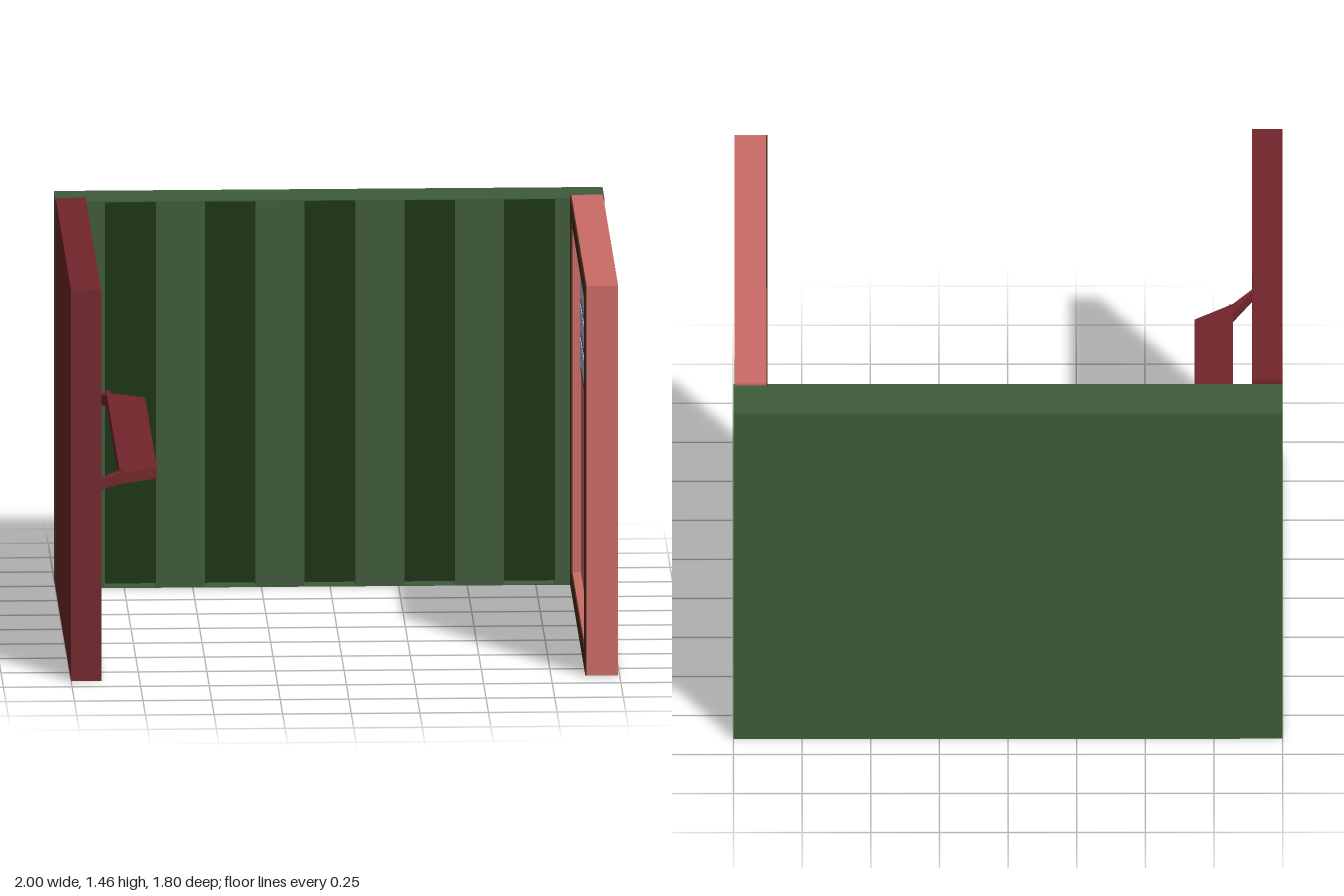
import * as THREE from 'three';

const mats = {};
const mat = (color) => (mats[color] ??= new THREE.MeshStandardMaterial({ color, flatShading: true }));
const GREEN = 0x3f5c3a, DARK_GREEN = 0x16340f, SALMON = 0xcc6b68, RED = 0x72262b,
  TAN = 0x966433, BROWN = 0x4a2c1a, SLOT = 0x50281f, GLASS = 0xa6bace;

// Box given by its extents on each axis
function box(parent, name, color, [x0, x1], [y0, y1], [z0, z1]) {
  const mesh = new THREE.Mesh(new THREE.BoxGeometry(x1 - x0, y1 - y0, z1 - z0), mat(color));
  mesh.position.set((x0 + x1) / 2, (y0 + y1) / 2, (z0 + z1) / 2);
  mesh.name = name;
  parent.add(mesh);
}

// Rectangular border in the y-z plane, w = [bottom, top, sides]
function border(parent, name, color, x, [y0, y1], [z0, z1], [b, t, s]) {
  box(parent, name, color, x, [y0, y0 + b], [z0, z1]);
  box(parent, name, color, x, [y1 - t, y1], [z0, z1]);
  box(parent, name, color, x, [y0 + b, y1 - t], [z0, z0 + s]);
  box(parent, name, color, x, [y0 + b, y1 - t], [z1 - s, z1]);
}

// Flat slab with an outline of [x, z] points
function slab(parent, name, color, points, y0, y1) {
  const shape = new THREE.Shape(points.map(([x, z]) => new THREE.Vector2(x, -z)));
  const geo = new THREE.ExtrudeGeometry(shape, { depth: y1 - y0, bevelEnabled: false });
  geo.rotateX(-Math.PI / 2).translate(0, y0, 0);
  const mesh = new THREE.Mesh(geo, mat(color));
  mesh.name = name;
  parent.add(mesh);
}

function backWall() {
  const g = new THREE.Group();
  g.name = 'backWall';
  const H = 1.44, step = 0.3635, half = 0.0925, lid = 0.003;
  box(g, 'backing', GREEN, [-1, 1], [0, H], [-0.9, -0.78]);
  // Thin plates close the grooves above and below
  box(g, 'topPlate', GREEN, [-1, 1], [H - lid, H], [-0.78, -0.71]);
  box(g, 'bottomPlate', GREEN, [-1, 1], [0, lid], [-0.78, -0.71]);
  // Raised boards with dark grooves between them
  let left = -1;
  for (let i = -2; i <= 2; i++) {
    const c = i * step;
    box(g, 'board', GREEN, [left, c - half], [lid, H - lid], [-0.78, -0.71]);
    box(g, 'groove', DARK_GREEN, [c - half, c + half], [lid, H - lid], [-0.78, -0.777]);
    left = c + half;
  }
  box(g, 'board', GREEN, [left, 1], [lid, H - lid], [-0.78, -0.71]);
  return g;
}

function leftHandWall() {
  const g = new THREE.Group();
  g.name = 'panelledWall';
  const H = 1.455, Z = [-0.71, 0.9], inner = [-0.67, 0.86];
  box(g, 'backing', RED, [-1, -0.94], [0, H], Z);
  border(g, 'wallFrame', RED, [-0.94, -0.89], [0, H], Z, [0.05, 0.04, 0.04]);

  // Upper panel and window
  box(g, 'upperPanel', TAN, [-0.94, -0.92], [0.74, 1.415], inner);
  border(g, 'windowFrame', RED, [-0.92, -0.908], [0.88, 1.31], [-0.19, 0.82], [0.03, 0.03, 0.03]);
  box(g, 'windowGlass', GLASS, [-0.92, -0.915], [0.91, 1.28], [-0.16, 0.79]);

  // Lower panel: rails with three long slots
  let bottom = 0.05;
  for (const y of [0.2, 0.38, 0.56]) {
    box(g, 'rail', RED, [-0.94, -0.915], [bottom, y - 0.04], inner);
    box(g, 'slot', SLOT, [-0.94, -0.935], [y - 0.04, y + 0.04], [-0.62, 0.81]);
    box(g, 'stile', RED, [-0.94, -0.915], [y - 0.04, y + 0.04], [-0.67, -0.62]);
    box(g, 'stile', RED, [-0.94, -0.915], [y - 0.04, y + 0.04], [0.81, 0.86]);
    bottom = y + 0.04;
  }
  box(g, 'rail', RED, [-0.94, -0.915], [bottom, 0.74], inner);

  // Shelf held off the wall by a slanting arm at each end
  const mid = 0.095;
  slab(g, 'shelf', RED, [[-0.82, -0.61], [-0.82, 0.8], [-0.68, 0.7], [-0.68, -0.52]], 0.71, 0.75);
  box(g, 'shelfLip', RED, [-0.82, -0.805], [0.75, 0.762], [-0.59, 0.78]);
  for (const s of [-1, 1]) {
    const arm = [[-0.895, 0.805], [-0.82, 0.705], [-0.82, 0.645], [-0.895, 0.785]];
    slab(g, 'shelfArm', RED, arm.map(([x, z]) => [x, mid + s * z]), 0.71, 0.75);
  }
  return g;
}

function rightHandWall() {
  const g = new THREE.Group();
  g.name = 'windowWall';
  const H = 1.45, Z = [-0.72, 0.87];
  box(g, 'wallBody', SALMON, [0.91, 0.995], [0, H], Z);
  border(g, 'wallFrame', SALMON, [0.88, 0.91], [0, H], Z, [0.07, 0.07, 0.12]);
  border(g, 'darkTrim', BROWN, [0.875, 0.88], [0, H], Z, [0.07, 0.07, 0.12]);

  // Window of three by three panes
  const y0 = 0.88, y1 = 1.295, z0 = -0.35, z1 = 0.37, bar = 0.045;
  box(g, 'windowFrame', BROWN, [0.9, 0.91], [y0, y1], [z0, z1]);
  const h = (y1 - y0 - 4 * 0.035) / 3, w = (z1 - z0 - 4 * bar) / 3;
  for (let r = 0; r < 3; r++) {
    for (let c = 0; c < 3; c++) {
      const y = y0 + 0.035 + r * (h + 0.035), z = z0 + bar + c * (w + bar);
      box(g, 'pane', GLASS, [0.897, 0.9], [y, y + h], [z, z + w]);
    }
  }
  return g;
}

export function createModel() {
  const model = new THREE.Group();
  model.name = 'threeWalledRoom';
  model.add(backWall(), leftHandWall(), rightHandWall());
  return model;
}
